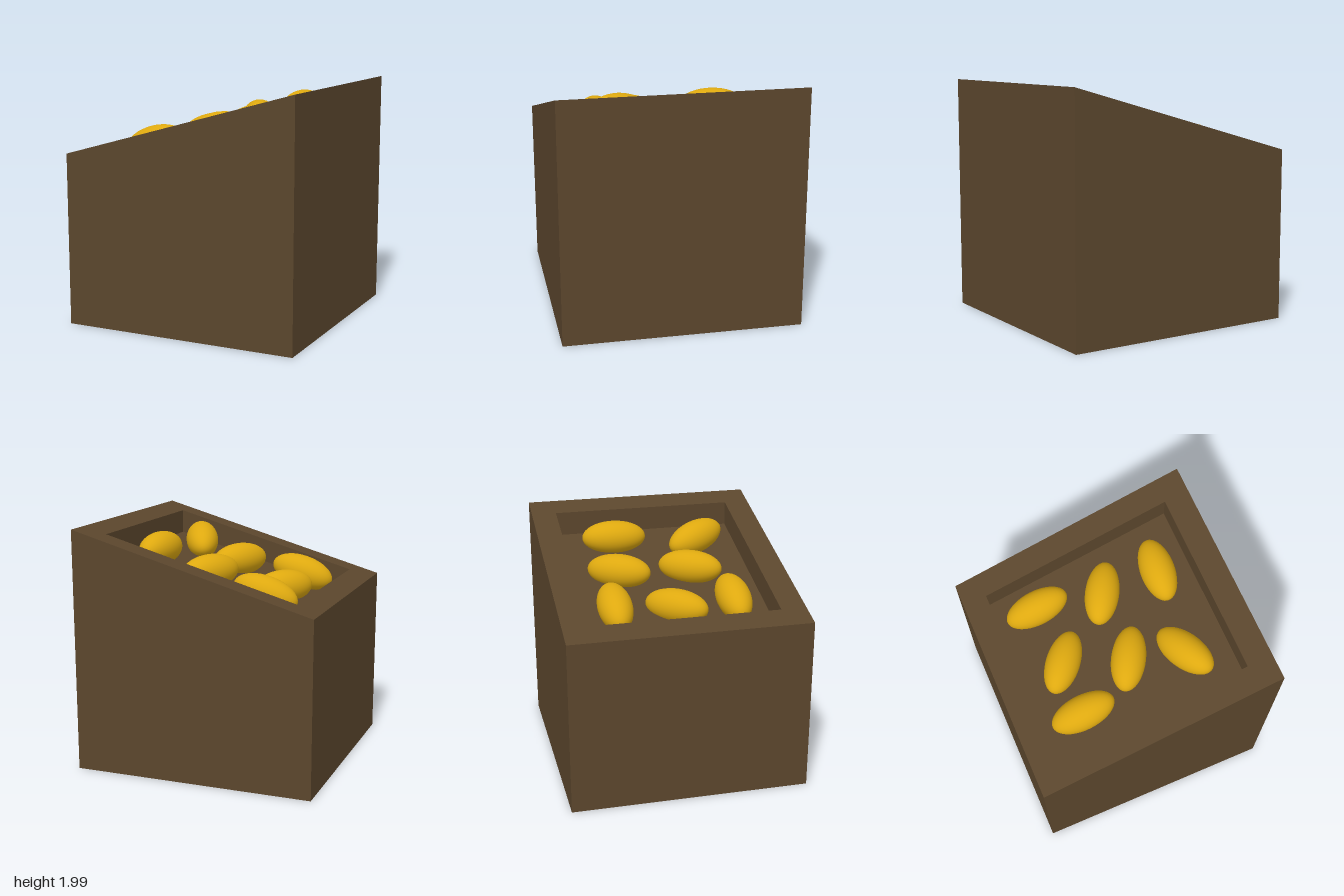
import * as THREE from 'three';

const rimY = (x) => 1.71 + 0.28 * x; // height of the sloping rim
const RECESS = 0.2;

// Slants the top of a unit-high geometry to follow the rim, lowered by drop
function slantTop(geo, drop) {
  const p = geo.attributes.position;
  for (let i = 0; i < p.count; i++) {
    p.setY(i, p.getY(i) > 0.5 ? rimY(p.getX(i)) - drop : 0);
  }
  geo.computeVertexNormals();
  return geo;
}

function rectangle(path, w, d) {
  return path.moveTo(-w, -d).lineTo(w, -d).lineTo(w, d).lineTo(-w, d).closePath();
}

export function createModel() {
  const model = new THREE.Group();
  model.name = 'crateOfBeans';
  const brown = new THREE.MeshStandardMaterial({ color: 0x5b462d });
  brown.name = 'brown';
  const gold = new THREE.MeshStandardMaterial({ color: 0xdea90f });
  gold.name = 'gold';

  // Walls with a square opening and a slanted rim
  const outline = rectangle(new THREE.Shape(), 1, 0.98);
  outline.holes.push(rectangle(new THREE.Path(), 0.8, 0.77));
  const wallGeo = new THREE.ExtrudeGeometry(outline, { depth: 1, bevelEnabled: false });
  wallGeo.rotateX(-Math.PI / 2);
  const walls = new THREE.Mesh(slantTop(wallGeo, 0), brown);
  walls.name = 'walls';
  model.add(walls);

  // Solid core whose top is the sunken floor
  const coreGeo = new THREE.BoxGeometry(1.6, 1, 1.54).translate(0, 0.5, 0);
  const core = new THREE.Mesh(slantTop(coreGeo, RECESS), brown);
  core.name = 'sunkenFloor';
  model.add(core);

  // Beans: x, y, z, turn about y in degrees, rise of the long axis
  const beans = [
    [-0.455, 1.495, -0.5, 0, 0.28],
    [0.07, 1.612, -0.36, 60, 0],
    [0.535, 1.765, -0.31, 85, 0],
    [-0.435, 1.45, 0.01, 51, 0],
    [0.04, 1.612, 0.245, 60, 0],
    [0.455, 1.739, 0.4, -65, 0.2],
    [-0.455, 1.495, 0.48, 0, 0.28],
  ];
  const beanGeo = new THREE.SphereGeometry(1, 32, 20).rotateZ(Math.PI / 2).scale(0.273, 0.14, 0.14);
  beans.forEach(([x, y, z, turn, rise], i) => {
    const bean = new THREE.Mesh(beanGeo, gold);
    bean.name = `bean${i + 1}`;
    bean.position.set(x, y, z);
    bean.rotation.set(0, THREE.MathUtils.degToRad(turn), Math.atan(rise));
    model.add(bean);
  });
  return model;
}
